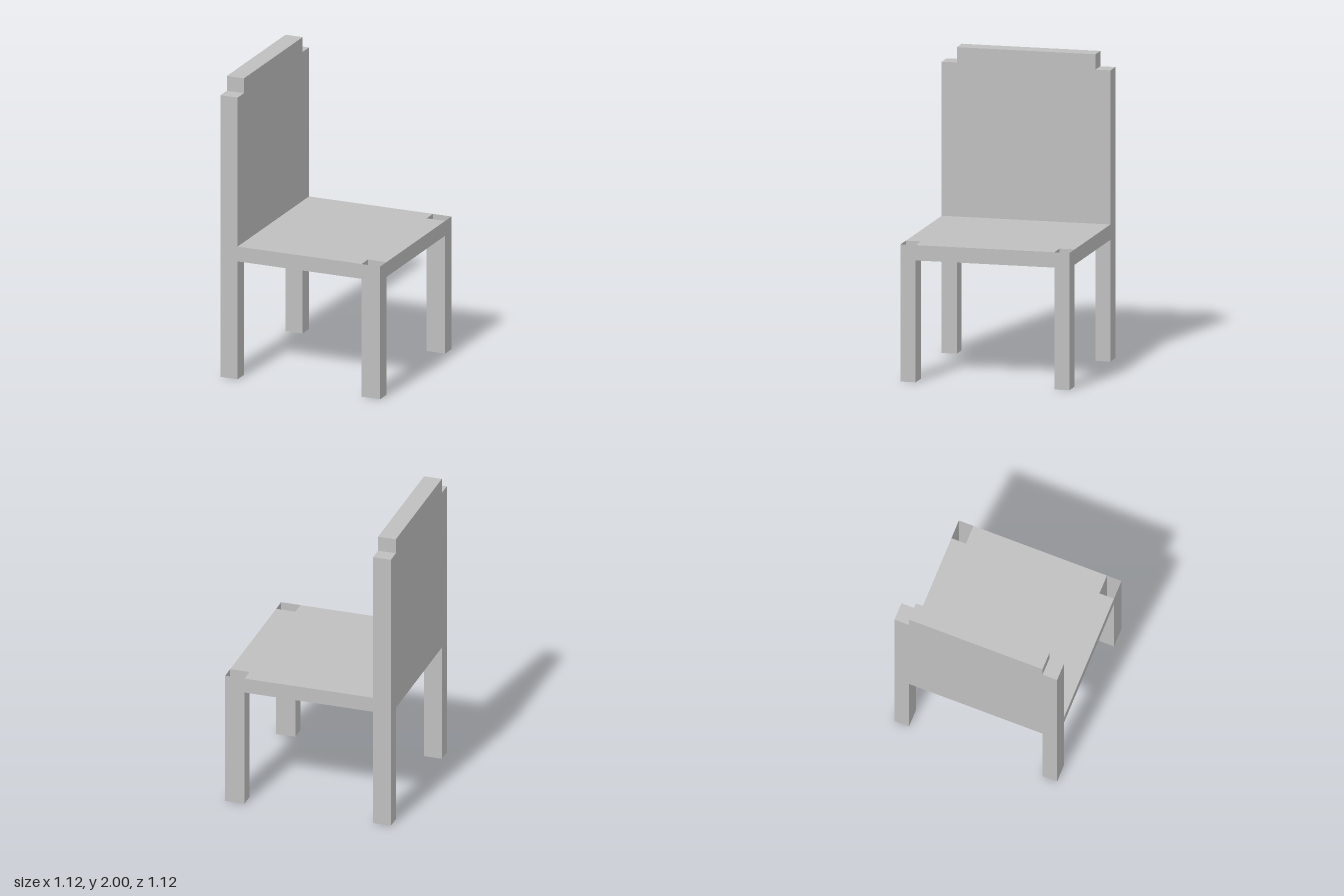
import * as THREE from 'three';

const HALF = 0.56;      // half width and half depth
const INNER = 0.46;     // inner side of the legs along z
const SEAT_LOW = 0.795;
const SEAT_TOP = 0.895;
const BACK_X = -0.44;   // front face of the backrest
const LEG_X = 0.43;     // inner face of the front legs

const extrude = (points, depth) =>
  new THREE.ExtrudeGeometry(
    new THREE.Shape(points.map(([x, y]) => new THREE.Vector2(x, y))),
    { depth, bevelEnabled: false }
  );

export function createModel() {
  const grey = new THREE.MeshStandardMaterial({ color: 0xbfbfbf, side: THREE.DoubleSide });
  grey.name = 'light grey';
  const group = new THREE.Group();
  group.name = 'chair';
  const add = (name, geometry) => {
    const mesh = new THREE.Mesh(geometry, grey);
    mesh.name = name;
    group.add(mesh);
    return mesh;
  };

  // Backrest and back legs: one silhouette with stepped top corners
  const half = [[INNER, 2], [INNER, 1.9], [HALF, 1.9], [HALF, 0], [INNER, 0], [INNER, SEAT_LOW]];
  const mirrored = half.map(([z, y]) => [-z, y]).reverse();
  const back = extrude([...half, ...mirrored], HALF + BACK_X);
  back.rotateY(-Math.PI / 2).translate(BACK_X, 0, 0);
  add('backrestAndBackLegs', back);

  // Seat slab with the two front corners cut out for the hollow legs
  const seat = extrude([
    [BACK_X, -HALF], [LEG_X, -HALF], [LEG_X, -INNER], [HALF, -INNER],
    [HALF, INNER], [LEG_X, INNER], [LEG_X, HALF], [BACK_X, HALF],
  ], SEAT_TOP - SEAT_LOW);
  seat.rotateX(-Math.PI / 2).translate(0, SEAT_LOW, 0);
  add('seat', seat);

  // Hollow front legs, open at the top
  for (const side of [1, -1]) {
    const leg = new THREE.BoxGeometry(HALF - LEG_X, SEAT_TOP, HALF - INNER);
    const index = Array.from(leg.index.array);
    index.splice(12, 6); // drop the top face
    leg.setIndex(index);
    leg.clearGroups();
    add(side > 0 ? 'frontLegLeft' : 'frontLegRight', leg)
      .position.set((HALF + LEG_X) / 2, SEAT_TOP / 2, side * (HALF + INNER) / 2);
  }
  return group;
}
